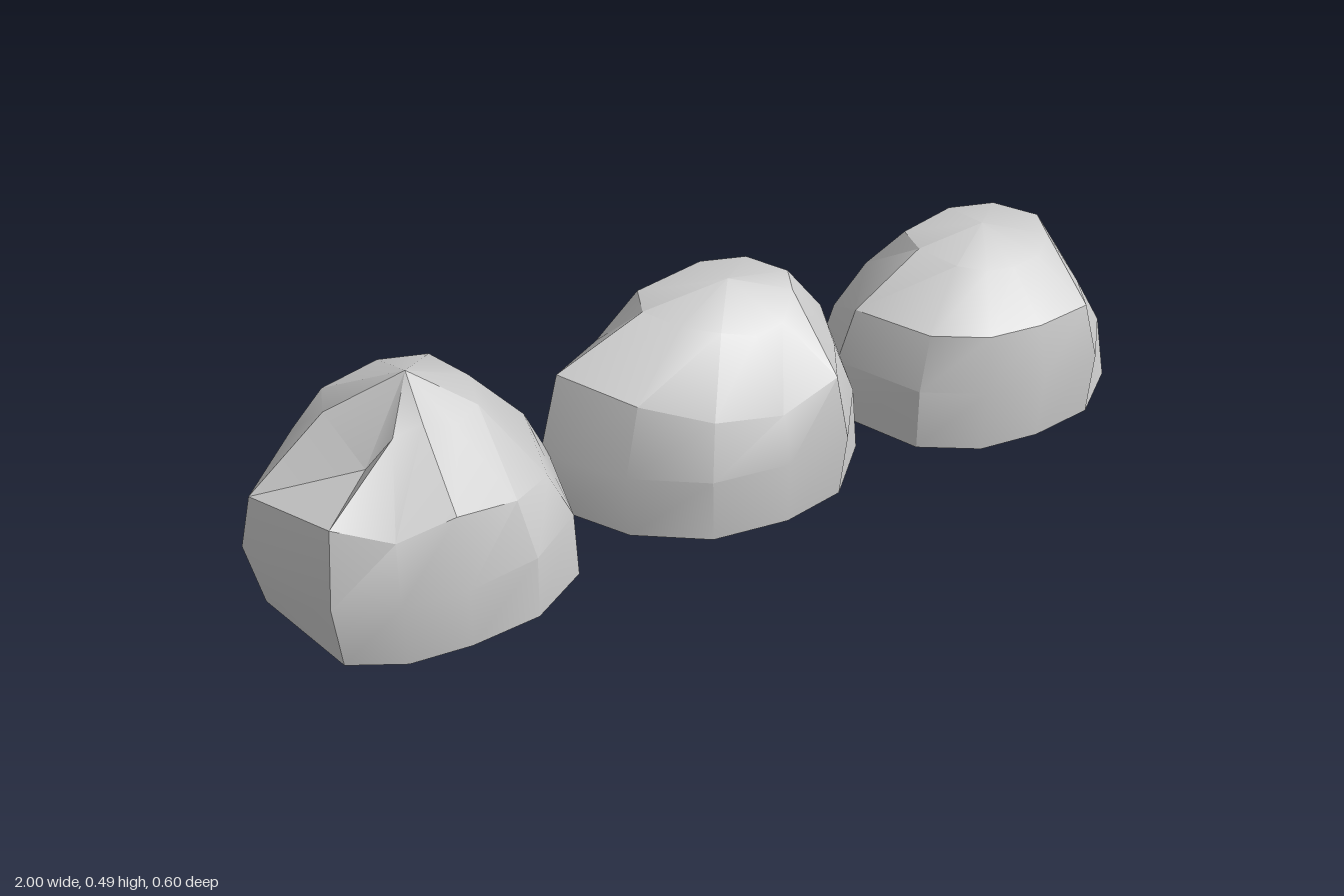
import * as THREE from 'three';
import { toCreasedNormals } from 'three/addons/utils/BufferGeometryUtils.js';

// Shared sides, counterclockwise from +x:
// [x share of the east or west reach, z share of the back or front reach, bulge, drop from height to crown]
const sides = [
  [1, 0, 0.2, 0.02], [0.71, -0.79, 0, 0.03], [0.04, -1, 0, 0.03], [-0.8, -0.79, 0, 0.04],
  [-1, 0, 0.9, 0.02], [-0.75, 0.68, 0.8, 0.03], [-0.4, 0.95, 0.8, 0.04],
  [0, 1, 0.8, 0.045], [0.47, 0.92, 0.8, 0.04], [0.86, 0.55, 0.4, 0.03],
];
const centreZ = -0.02, back = 0.28;

// taper above 1 narrows the front corners, below 1 squares them.
// Bumps are keyed by side: [extra bulge, extra shoulder height, extra crown height]
const boulders = [
  {
    name: 'leftBoulder', x: 0.68, east: 0.32, west: 0.345, front: 0.265, taper: 1, height: 0.4, peak: [0.68, 0.4, -0.02],
    bumps: { 0: [-0.2, 0, 0], 9: [-0.3, -0.02, 0] },
  },
  {
    name: 'middleBoulder', x: 0.05, east: 0.3, west: 0.41, front: 0.265, taper: 1.4, height: 0.44, peak: [0.05, 0.442, -0.02],
    bumps: { 0: [0, 0.04, 0], 4: [0.1, 0.06, 0], 5: [0, 0.03, 0], 7: [0, -0.02, -0.02], 8: [0.2, 0.02, -0.02] },
  },
  {
    name: 'rightBoulder', x: -0.66, east: 0.305, west: 0.31, front: 0.305, taper: 0.6, height: 0.42, peak: [-0.66, 0.49, 0.05],
    bumps: { 0: [0.3, -0.01, -0.01], 4: [0.3, -0.01, 0], 5: [0.2, 0.04, -0.06], 6: [0.1, 0, 0.02], 7: [0.2, 0.03, 0.04], 9: [0.2, -0.03, 0] },
  },
];

function boulderGeometry({ x, east, west, front, taper, height, peak, bumps }) {
  const n = sides.length;
  const positions = [], index = [];
  // rings: base, widest part, shoulder, crown
  for (let ring = 0; ring < 4; ring++) {
    sides.forEach(([sx, sz, sideBulge, drop], i) => {
      const [extra, shoulderUp, crownUp] = bumps[i] ?? [0, 0, 0];
      const bulge = sideBulge + extra;
      const scale = [1, 0.89 + 0.16 * bulge, 0.7 + 0.24 * bulge, 0.47][ring];
      const y = [0, 0.15, 0.27 + shoulderUp, height - drop + crownUp][ring];
      const z = sz > 0 ? front * sz ** taper : back * sz;
      positions.push(x + sx * (sx > 0 ? east : west) * scale, y, centreZ + z * scale);
    });
  }
  positions.push(...peak, x, 0, centreZ);
  const top = 4 * n, bottom = top + 1;
  for (let i = 0; i < n; i++) {
    const j = (i + 1) % n;
    for (let r = 0; r < 3; r++) {
      const a = r * n + i, b = r * n + j;
      index.push(a, b, b + n, a, b + n, a + n);
    }
    index.push(3 * n + i, 3 * n + j, top, j, i, bottom);
  }
  const geometry = new THREE.BufferGeometry();
  geometry.setAttribute('position', new THREE.Float32BufferAttribute(positions, 3));
  geometry.setIndex(index);
  return toCreasedNormals(geometry, 0.55);
}

export function createModel() {
  const group = new THREE.Group();
  group.name = 'boulderRow';
  const stone = new THREE.MeshStandardMaterial({ color: 0xcccccc });
  for (const boulder of boulders) {
    const mesh = new THREE.Mesh(boulderGeometry(boulder), stone);
    mesh.name = boulder.name;
    group.add(mesh);
  }
  return group;
}
